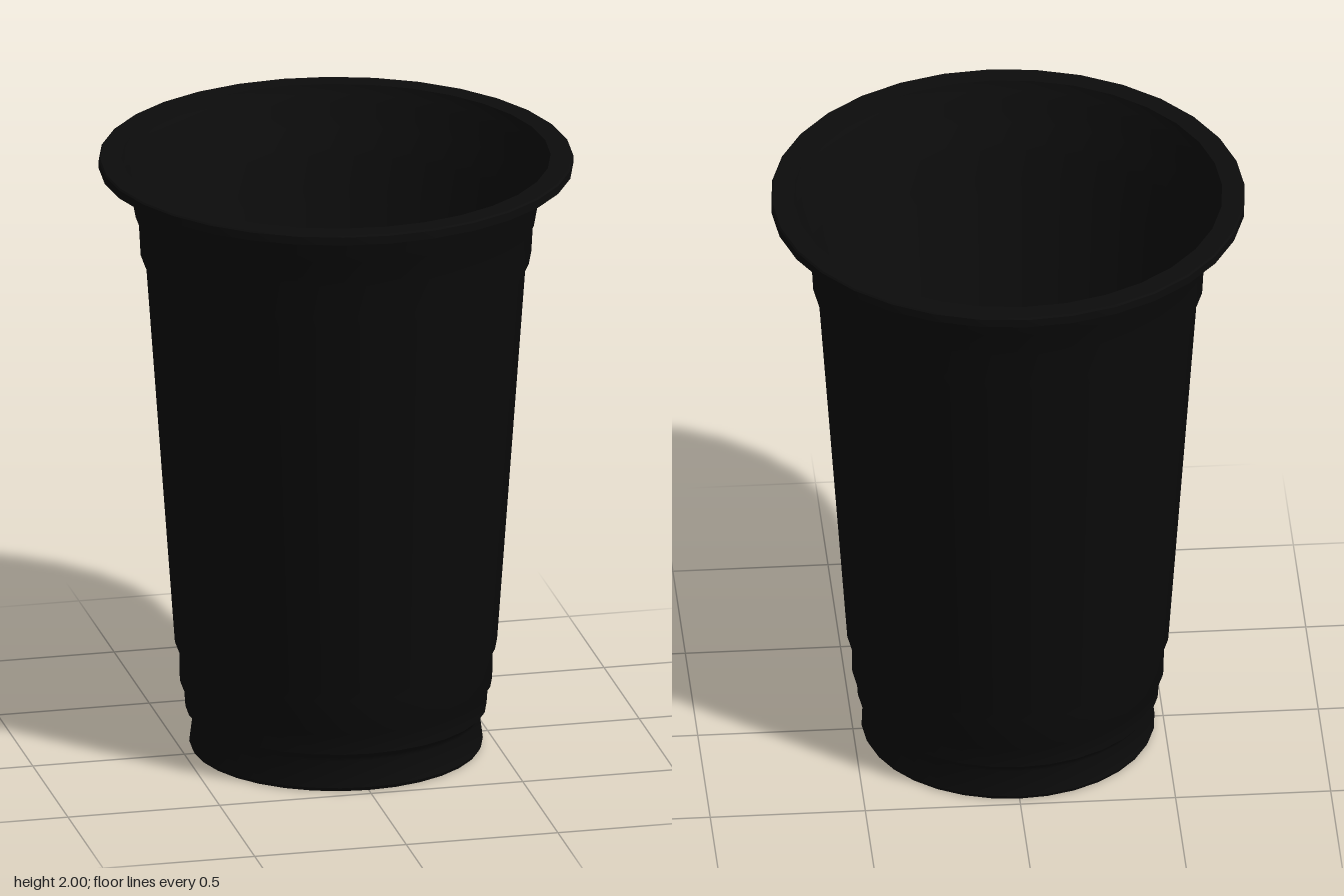
import * as THREE from 'three';
import { toCreasedNormals } from 'three/addons/utils/BufferGeometryUtils.js';

const SIDES = 32;
const WALL = 0.012;

// Outer wall as [radius, height], from the foot up to the underside of the rim
const wall = [
  [0.472, 0.012], [0.461, 0.1],
  [0.468, 0.115], [0.484, 0.13], [0.489, 0.2],
  [0.502, 0.218], [0.504, 0.32],
  [0.518, 0.35], [0.61, 1.63],
  [0.628, 1.67], [0.634, 1.78],
  [0.644, 1.8], [0.657, 1.87],
  [0.675, 1.9], [0.68, 1.945], [0.694, 1.968],
];

// Revolve a profile; gentle bends stay smooth and corners stay sharp
function turned(name, points, material) {
  const profile = points.map(([r, y]) => new THREE.Vector2(r, y));
  const geometry = toCreasedNormals(new THREE.LatheGeometry(profile, SIDES), 0.7);
  const mesh = new THREE.Mesh(geometry, material);
  mesh.name = name;
  return mesh;
}

export function createModel() {
  const cup = new THREE.Group();
  cup.name = 'cup';
  const plastic = new THREE.MeshStandardMaterial({ color: 0x0c0c0c });
  plastic.name = 'black plastic';

  // Stepped side wall, outside and inside
  cup.add(turned('outerWall', wall, plastic));
  const inside = wall.map(([r, y]) => [r - WALL, Math.max(y, 0.02)]).reverse();
  cup.add(turned('innerWall', [[0.69, 2], ...inside], plastic));

  // Flat lip around the mouth
  cup.add(turned('rim', [
    [0.694, 1.968], [0.763, 1.968], [0.763, 1.995], [0.758, 2], [0.69, 2],
  ], plastic));

  // Base with a slightly raised centre
  cup.add(turned('underside', [
    [0, 0.02], [0.33, 0.02], [0.37, 0], [0.466, 0], [0.472, 0.012],
  ], plastic));
  cup.add(turned('floor', [
    [0.46, 0.02], [0.37, 0.02], [0.33, 0.04], [0, 0.04],
  ], plastic));

  return cup;
}
